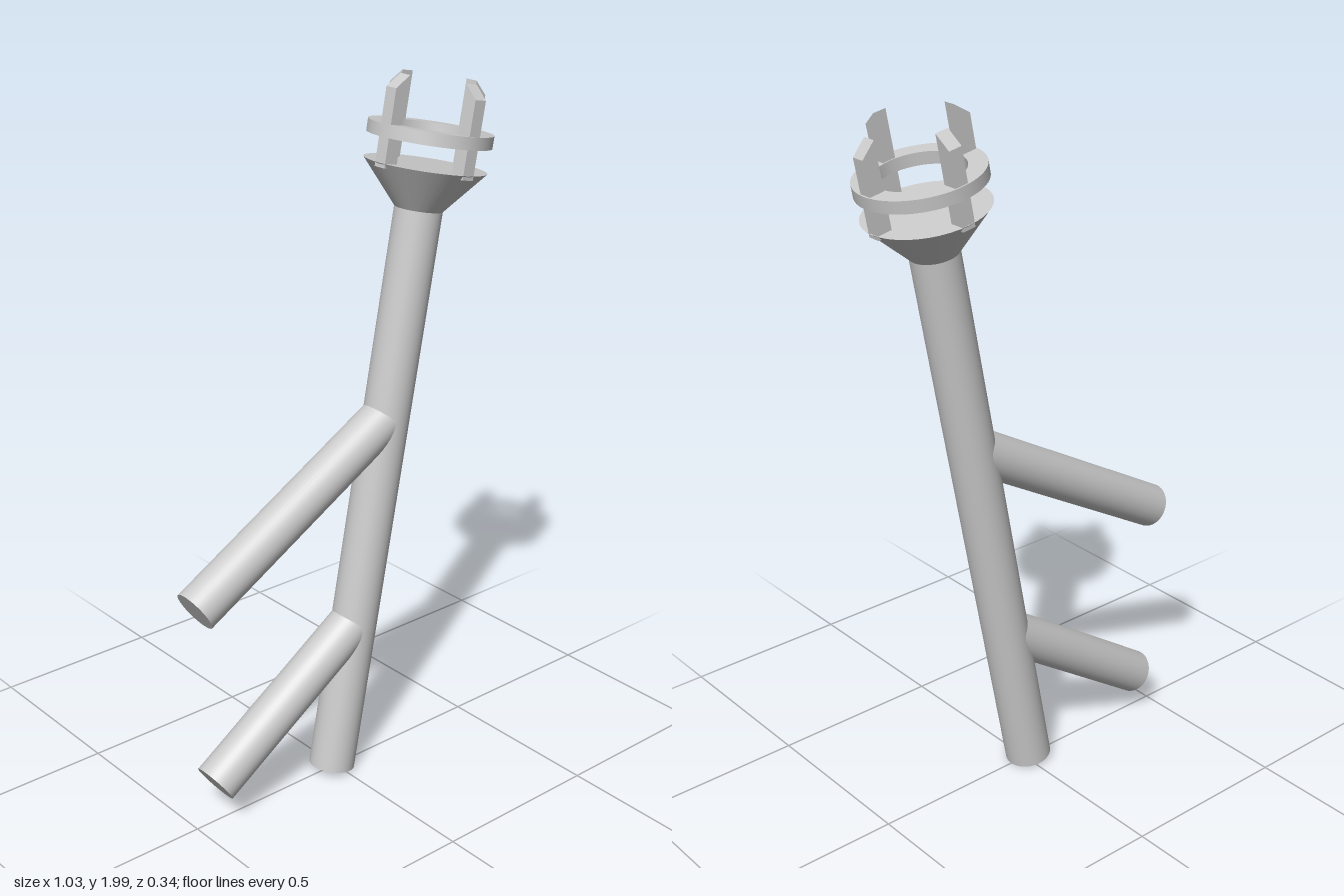
import * as THREE from 'three';
import { toCreasedNormals } from 'three/addons/utils/BufferGeometryUtils.js';

const material = new THREE.MeshStandardMaterial({ color: 0xcccccc });

function addMesh(parent, name, geometry) {
  const mesh = new THREE.Mesh(geometry, material);
  mesh.name = name;
  parent.add(mesh);
  return mesh;
}

// Round bar along +y, standing on its own origin
function bar(rTop, rBottom, height) {
  return new THREE.CylinderGeometry(rTop, rBottom, height, 40).translate(0, height / 2, 0);
}

// Side branch running from its free end up into the shaft
function addBranch(parent, name, x, y, length, degrees) {
  const mesh = addMesh(parent, name, bar(0.063, 0.063, length));
  mesh.position.set(x, y, 0);
  mesh.rotation.z = THREE.MathUtils.degToRad(degrees - 90);
}

export function createModel() {
  const model = new THREE.Group();
  model.name = 'branchedPost';

  // Leaning assembly: shaft, flared cup, ring and prongs share one axis
  const post = new THREE.Group();
  post.name = 'leaningPost';
  post.position.set(-0.013, 0.017, 0);
  post.rotation.z = -THREE.MathUtils.degToRad(10.7);
  model.add(post);

  addMesh(post, 'shaft', bar(0.066, 0.066, 1.65));
  addMesh(post, 'flaredCup', bar(0.167, 0.066, 0.118)).position.y = 1.644;

  // Flat ring holding the prongs
  const outline = new THREE.Shape().absarc(0, 0, 0.169, 0, Math.PI * 2);
  outline.holes.push(new THREE.Path().absarc(0, 0, 0.119, 0, Math.PI * 2, true));
  const ringGeometry = new THREE.ExtrudeGeometry(outline, {
    depth: 0.034, bevelEnabled: false, curveSegments: 32,
  }).rotateX(-Math.PI / 2);
  addMesh(post, 'ring', toCreasedNormals(ringGeometry, 0.6)).position.y = 1.829;

  // Four upright prongs, slanted down towards the outside at the tip
  const profile = new THREE.Shape([
    new THREE.Vector2(0.122, 1.75),
    new THREE.Vector2(0.164, 1.75),
    new THREE.Vector2(0.164, 1.957),
    new THREE.Vector2(0.122, 1.993),
  ]);
  const prongGeometry = new THREE.ExtrudeGeometry(profile, {
    depth: 0.038, bevelEnabled: false,
  }).translate(0, 0, -0.019);
  for (let i = 0; i < 4; i++) {
    addMesh(post, 'prong' + (i + 1), prongGeometry).rotation.y = i * Math.PI / 2;
  }

  addBranch(model, 'upperBranch', -0.483, 0.68, 0.76, 30);
  addBranch(model, 'lowerBranch', -0.434, 0.125, 0.6, 34);

  return model;
}
